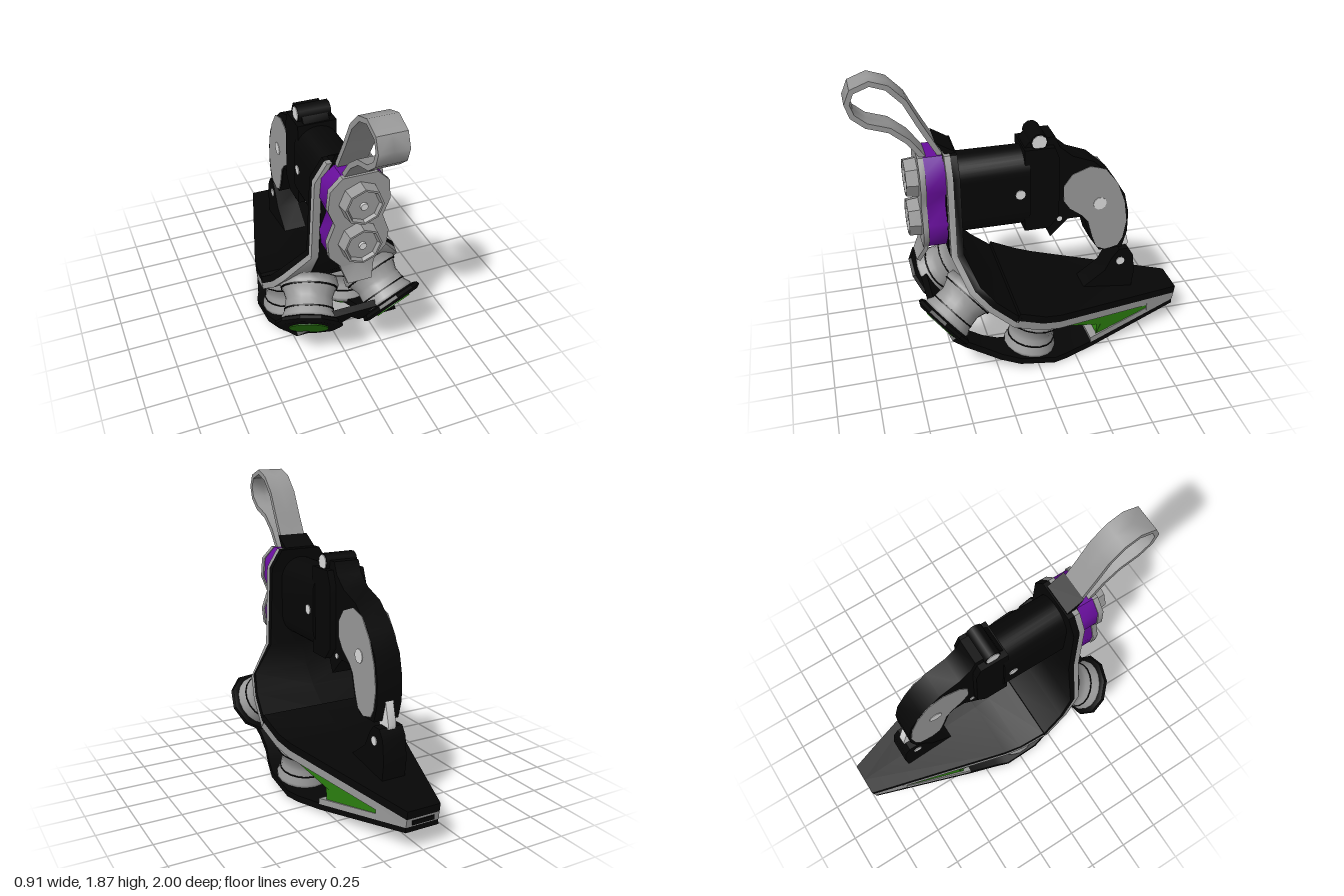
import * as THREE from 'three';
import { toCreasedNormals } from 'three/addons/utils/BufferGeometryUtils.js';

const mat = (name, color) => {
  const m = new THREE.MeshStandardMaterial({ color });
  m.name = name;
  return m;
};

export function createModel() {
  const root = new THREE.Group();
  root.name = 'springBoot';
  const black = mat('black', 0x060606), grey = mat('grey', 0x999999), light = mat('lightGrey', 0xdcdcdc);
  const purple = mat('purple', 0x680e9c), green = mat('green', 0x2b7d0f);

  const add = (name, geo, material, parent = root) => {
    const m = new THREE.Mesh(geo, material);
    m.name = name;
    parent.add(m);
  };
  const soften = (geo) => toCreasedNormals(geo, 0.75);

  // Closed solid through four-cornered sections
  const loft = (sections, flip = false) => {
    const pos = [];
    const quad = (a, b, c, d) => {
      const q = flip ? [a, c, b, a, d, c] : [a, b, c, a, c, d];
      q.forEach((p) => pos.push(...p));
    };
    quad(...sections[0]);
    for (let i = 0; i < sections.length - 1; i++) {
      const s = sections[i], e = sections[i + 1];
      for (let k = 0; k < 4; k++) {
        const n = (k + 1) % 4;
        quad(s[k], e[k], e[n], s[n]);
      }
    }
    quad(...[...sections[sections.length - 1]].reverse());
    const g = new THREE.BufferGeometry();
    g.setAttribute('position', new THREE.Float32BufferAttribute(pos, 3));
    return soften(g);
  };

  // Bent mirrored sheet: rows are [z, y, inner x, outer x], offset from t0 to t1 along its normal
  const sheet = (name, rows, t0, t1, material) => {
    for (const s of [1, -1]) {
      const secs = rows.map(([z, y, xi, xo], i) => {
        const p = rows[Math.max(0, i - 1)], q = rows[Math.min(rows.length - 1, i + 1)];
        const dz = q[0] - p[0], dy = q[1] - p[1], l = Math.hypot(dz, dy);
        const at = (x, t) => [s * x, y - (dz / l) * t, z + (dy / l) * t];
        return [at(xi, t0), at(xo, t0), at(xo, t1), at(xi, t1)];
      });
      add(name, loft(secs, s < 0), material);
    }
  };

  // Side outline [z, y] extruded across x
  const sideProfile = (name, pts, x0, x1, material) => {
    const shape = new THREE.Shape(pts.map(([z, y]) => new THREE.Vector2(-z, y)));
    const g = new THREE.ExtrudeGeometry(shape, { depth: x1 - x0, bevelEnabled: false });
    add(name, soften(g.rotateY(Math.PI / 2).translate(x0, 0, 0)), material);
  };
  // Front outline, mirrored in x and extruded along z
  const frontProfile = (name, half, z0, z1, material) => {
    const left = half.map(([x, y]) => [-x, y]).reverse();
    const shape = new THREE.Shape([...half, ...left].map((p) => new THREE.Vector2(...p)));
    const g = new THREE.ExtrudeGeometry(shape, { depth: z1 - z0, bevelEnabled: false });
    add(name, soften(g.translate(0, 0, z0)), material);
  };
  const bolt = (name, z, y, r, half, material = light) =>
    add(name, new THREE.CylinderGeometry(r, r, half * 2, 10).rotateZ(Math.PI / 2).translate(0, y, z), material);
  const lathe = (pts, seg) => new THREE.LatheGeometry(pts.map((p) => new THREE.Vector2(...p)), seg);

  // Shin guard and sole: grey outer shell, black liner, black inset panel
  const shell = [
    [0.495, 1.41, 0, 0.13], [0.495, 1.3, 0, 0.2], [0.495, 0.8, 0, 0.22], [0.42, 0.62, 0, 0.36],
    [0.32, 0.5, 0, 0.39], [0.17, 0.37, 0, 0.41], [0, 0.3, 0, 0.39], [-0.12, 0.27, 0, 0.365], [-0.985, 0.15, 0, 0.105],
  ];
  const shin = shell.slice(0, 6), sole = shell.slice(5);
  sheet('shinShell', shin, 0, 0.035, grey);
  sheet('shinLiner', shin, 0.035, 0.075, black);
  sheet('soleShell', sole, 0, 0.05, grey);
  sheet('soleTop', sole, 0.05, 0.1, black);
  sheet('frontPanel', shin.slice(0, 5).map(([z, y], i) => [z, y, 0, [0.1, 0.16, 0.175, 0.2, 0.2][i]]), -0.005, 0.01, black);
  sideProfile('collarTip', [[0.535, 1.485], [0.43, 1.42], [0.43, 1.3], [0.46, 1.3], [0.48, 1.4]], -0.1, 0.1, black);

  // Sandwiched front plate and purple cushion
  const outline = [[0.1, 0.82], [0.17, 0.9], [0.18, 1.0], [0.14, 1.11], [0.18, 1.21], [0.17, 1.33], [0.1, 1.4]];
  frontProfile('cushion', outline.map(([x, y]) => [x * 0.95, y]), 0.495, 0.607, purple);
  frontProfile('frontPlate', outline, 0.607, 0.64, grey);
  sheet('plateLip', [[0.64, 0.84, 0, 0.105], [0.635, 0.81, 0, 0.1], [0.68, 0.72, 0, 0.07]], 0, 0.025, grey);

  // Octagonal knobs with centre bolts
  for (const y of [0.98, 1.24]) {
    const knob = lathe([[0.12, 0], [0.112, 0.07], [0.1, 0.07], [0.09, 0.05], [0, 0.05]], 8);
    add('knob', toCreasedNormals(knob.rotateX(Math.PI / 2).translate(0, y, 0.64), 0.3), grey);
    add('knobBolt', new THREE.CylinderGeometry(0.022, 0.022, 0.02, 8).rotateX(Math.PI / 2).translate(0, y, 0.695), light);
  }

  // Pull strap
  const strap = [
    [0.61, 1.38], [0.69, 1.49], [0.78, 1.565], [0.9, 1.605], [0.975, 1.67], [1.0, 1.75],
    [0.965, 1.83], [0.86, 1.87], [0.76, 1.835], [0.67, 1.74], [0.6, 1.6], [0.53, 1.47], [0.48, 1.38],
  ];
  sheet('pullStrap', strap.map(([z, y]) => [z, y, 0, 0.083]), -0.03, 0, grey);

  // Rounded barrel and hinge
  const capsule = new THREE.Shape();
  capsule.absarc(0, 1.225, 0.135, 0, Math.PI, false);
  capsule.absarc(0, 0.995, 0.135, Math.PI, Math.PI * 2, false);
  add('barrel', soften(new THREE.ExtrudeGeometry(capsule, { depth: 0.45, bevelEnabled: false, curveSegments: 8 })), black);
  sideProfile('hingeBlock', [[0.03, 1.38], [-0.15, 1.38], [-0.18, 1.3], [-0.18, 0.92], [-0.12, 0.85], [0.03, 0.85]], -0.12, 0.12, black);
  bolt('barrelBolt', 0.06, 1.11, 0.03, 0.14);
  bolt('hingeSleeve', -0.06, 1.415, 0.052, 0.1, black);
  bolt('hingePin', -0.06, 1.415, 0.044, 0.104);

  // Curved calf arm with side plates
  sideProfile('calfArm', [
    [0.02, 1.38], [-0.02, 1.43], [-0.16, 1.43], [-0.19, 1.36], [-0.27, 1.29], [-0.4, 1.24], [-0.53, 1.12],
    [-0.61, 0.99], [-0.64, 0.86], [-0.64, 0.72], [-0.61, 0.61], [-0.46, 0.61], [-0.4, 0.7], [-0.36, 0.84],
    [-0.33, 0.87], [-0.25, 0.87], [-0.14, 0.76], [-0.1, 0.85], [0.02, 0.86],
  ], -0.08, 0.08, black);
  const kidney = [
    [-0.38, 1.21], [-0.48, 1.18], [-0.56, 1.07], [-0.61, 0.94], [-0.63, 0.8], [-0.61, 0.68], [-0.58, 0.63], [-0.5, 0.61],
    [-0.44, 0.64], [-0.41, 0.72], [-0.38, 0.83], [-0.34, 0.88], [-0.26, 0.94], [-0.22, 1.0], [-0.22, 1.1], [-0.27, 1.17],
  ];
  sideProfile('sidePlate', kidney, 0.08, 0.084, grey);
  sideProfile('sidePlate', kidney, -0.084, -0.08, grey);
  bolt('armBolt', -0.45, 0.95, 0.042, 0.088);
  bolt('finBolt', -0.195, 0.88, 0.017, 0.085);

  // Heel link and bracket
  sideProfile('heelLink', [[-0.6, 0.72], [-0.64, 0.73], [-0.675, 0.6], [-0.66, 0.55], [-0.6, 0.55], [-0.57, 0.61]], -0.025, 0.025, light);
  sideProfile('heelBracket', [
    [-0.35, 0.32], [-0.51, 0.44], [-0.555, 0.53], [-0.6, 0.585], [-0.66, 0.585], [-0.695, 0.53], [-0.71, 0.4], [-0.695, 0.28],
  ], -0.075, 0.075, black);
  bolt('heelBolt', -0.61, 0.5, 0.028, 0.08);

  // Curved ground plate with a central opening, running back to the heel
  sheet('groundPlate', [
    [0.64, 0.45, 0, 0.16], [0.585, 0.36, 0, 0.18], [0.53, 0.27, 0.07, 0.32], [0.45, 0.19, 0.165, 0.3], [0.34, 0.125, 0.175, 0.31],
    [0.24, 0.08, 0.17, 0.34], [0.12, 0.045, 0.14, 0.37], [-0.1, 0.01, 0.06, 0.37], [-0.18, 0.001, 0, 0.34],
    [-0.36, 0.02, 0, 0.29], [-0.985, 0.12, 0, 0.105],
  ], 0, 0.04, black);

  // Heel wedge: grey lower rim, green core, grey tip with a slot
  sheet('heelRim', [[-0.36, 0.055, 0, 0.29], [-0.985, 0.15, 0, 0.105]], 0, 0.035, grey);
  const box4 = ([z, y0, y1, h]) => [[-h, y0, z], [h, y0, z], [h, y1, z], [-h, y1, z]];
  const core = [[-0.18, 0.255, 0.28, 0.335], [-0.43, 0.165, 0.24, 0.262], [-0.4, 0.09, 0.24, 0.265], [-0.8, 0.13, 0.19, 0.155]];
  add('heelCore', loft(core.map(box4)), green);
  add('heelTip', loft([[-0.78, 0.125, 0.2, 0.168], [-0.985, 0.15, 0.2, 0.105]].map(box4)), grey);
  add('heelSlot', new THREE.BoxGeometry(0.14, 0.025, 0.008).translate(0, 0.175, -0.993), black);

  // Spring stack standing on a pad: y runs from the ground side inwards
  const spring = (name, pos, axis, len, lobe) => {
    const g = new THREE.Group();
    g.name = name;
    g.position.set(...pos);
    g.quaternion.setFromUnitVectors(new THREE.Vector3(0, 1, 0), new THREE.Vector3(...axis).normalize());
    const body = [[0.16, 0.03], [0.163, 0.06], [0.145, 0.09], [0.14, len * 0.5], [0.137, len * 0.58], [0.155, len * 0.75], [0.175, len * 0.85], [0.165, len]];
    add('springBody', lathe([[0, 0.03], ...body, [0, len]], 18), grey, g);
    for (const [k, r] of [[0.36, 0.147], [0.8, 0.169]])
      add('springGroove', new THREE.CylinderGeometry(r, r, 0.009, 18).translate(0, len * k, 0), black, g);
    if (lobe) {
      const disc = lathe([[0, 0], [0.175, 0], [0.2, 0.015], [0.195, 0.035], [0.17, 0.045], [0, 0.045]], 10);
      add('padLobe', toCreasedNormals(disc, 0.4), black, g);
    }
    add('pad', new THREE.CylinderGeometry(0.115, 0.115, 0.009, 20).translate(0, -0.002, 0), green, g);
    root.add(g);
  };
  for (const s of [1, -1]) {
    spring('frontSpring', [s * 0.27, 0.37, 0.585], [-s * 0.3, 0.58, -0.76], 0.29, true);
    spring('rearSpring', [s * 0.2, 0.03, 0.03], [0, 0.988, -0.157], 0.29, false);
  }
  return root;
}
